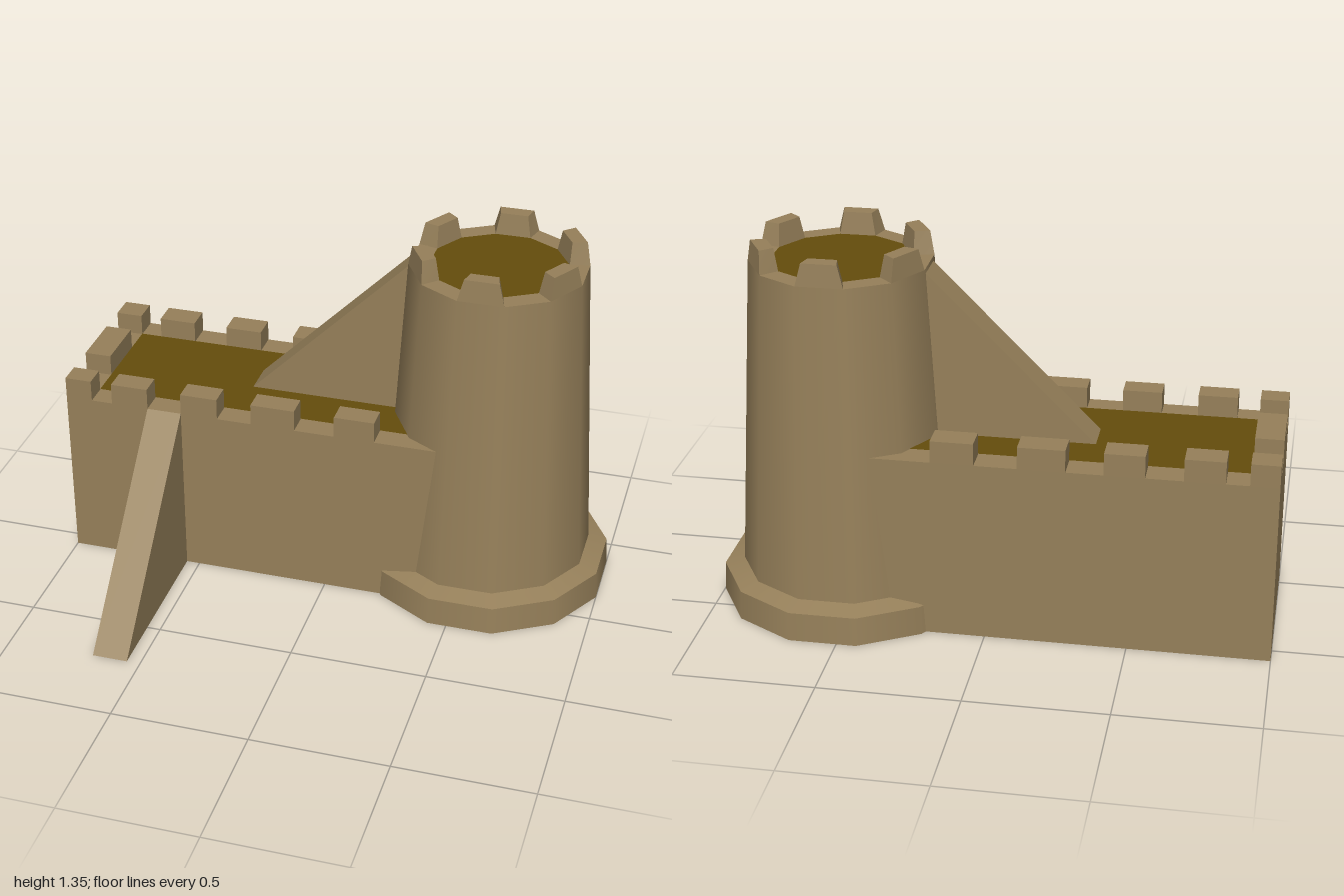
import * as THREE from 'three';

const stone = new THREE.MeshStandardMaterial({ color: 0x96805a, side: THREE.DoubleSide });
stone.name = 'sandy stone';
const earth = new THREE.MeshStandardMaterial({ color: 0x644d0c, side: THREE.DoubleSide });
earth.name = 'brown floor';

const SIDES = 12;
const HALF = Math.PI / SIDES;
const round = (apothem) => apothem / Math.cos(HALF); // flat-to-centre distance -> corner radius

function add(parent, name, geometry, material = stone) {
  const mesh = new THREE.Mesh(geometry, material);
  mesh.name = name;
  parent.add(mesh);
  return mesh;
}

// Box given by its limits; its underside can be left open
function block(x0, x1, y0, y1, z0, z1, open = false) {
  const g = new THREE.BoxGeometry(x1 - x0, y1 - y0, z1 - z0);
  g.translate((x0 + x1) / 2, (y0 + y1) / 2, (z0 + z1) / 2);
  if (open) {
    const index = Array.from(g.index.array);
    index.splice(18, 6);
    g.clearGroups();
    g.setIndex(index);
  }
  return g;
}

// Move every vertex by a rule and refresh the normals
function reshape(g, rule) {
  const p = g.attributes.position;
  const v = new THREE.Vector3();
  for (let i = 0; i < p.count; i++) {
    v.fromBufferAttribute(p, i);
    rule(v);
    p.setXYZ(i, v.x, v.y, v.z);
  }
  g.computeVertexNormals();
  return g;
}

// Open twelve-sided band with a flat side facing front
function band(r0, r1, y0, y1) {
  const g = new THREE.CylinderGeometry(round(r1), round(r0), y1 - y0, SIDES, 1, true, HALF);
  return g.translate(0, (y0 + y1) / 2, 0);
}

function buildTower() {
  const tower = new THREE.Group();
  tower.name = 'tower';
  tower.position.set(0.55, 0, -0.26);

  add(tower, 'towerFooting', band(0.45, 0.444, 0, 0.105));
  add(tower, 'footingSlope', band(0.444, 0.376, 0.105, 0.125));
  add(tower, 'towerShaft', band(0.376, 0.31, 0.125, 1.27));

  const rim = new THREE.RingGeometry(round(0.24), round(0.31), SIDES, 1, HALF);
  add(tower, 'towerRim', rim.rotateX(-Math.PI / 2).translate(0, 1.27, 0));
  const floor = new THREE.CircleGeometry(round(0.24), SIDES, HALF);
  add(tower, 'towerFloor', floor.rotateX(-Math.PI / 2).translate(0, 1.27, 0), earth);

  // Tapered battlements on every second side
  for (let i = 0; i < 6; i++) {
    const g = reshape(new THREE.BoxGeometry(1, 1, 1), (v) => {
      const top = v.y > 0, outer = v.z > 0;
      v.x = Math.sign(v.x) * (top ? (outer ? 0.062 : 0.05) : (outer ? 0.083 : 0.064));
      v.z = outer ? (top ? 0.303 : 0.31) : (top ? 0.25 : 0.24);
      v.y = top ? 1.35 : 1.27;
    });
    add(tower, 'towerBattlement', g).rotation.y = (i * Math.PI) / 3;
  }
  return tower;
}

function buildWall() {
  const wall = new THREE.Group();
  wall.name = 'wall';
  add(wall, 'wallBody', block(-1, 0.436, 0, 0.66, -0.57, 0.06, true));

  const floor = new THREE.PlaneGeometry(1.336, 0.45).rotateX(-Math.PI / 2);
  add(wall, 'wallFloor', floor.translate(-0.232, 0.662, -0.25), earth);

  // Battlements along both long sides and the far end
  const spans = [[-1, -0.9], [-0.82, -0.68], [-0.55, -0.41], [-0.28, -0.115], [0.035, 0.185]];
  for (const [x0, x1] of spans) {
    add(wall, 'frontBattlement', block(x0, x1, 0.66, 0.74, -0.025, 0.06));
    add(wall, 'backBattlement', block(x0, x1, 0.66, 0.74, -0.57, -0.475));
  }
  add(wall, 'endBattlement', block(-1, -0.9, 0.66, 0.74, -0.36, -0.14));
  return wall;
}

export function createModel() {
  const model = new THREE.Group();
  model.name = 'fort';
  model.add(buildWall(), buildTower());

  // Sloping buttress in front of the wall
  add(model, 'frontButtress', reshape(block(-0.68, -0.55, 0, 0.66, 0.06, 0.71, true), (v) => {
    if (v.z > 0.4) v.y = 0;
  }));

  // Ramp rising from the wall floor to the tower top
  add(model, 'towerRamp', reshape(block(-0.36, 0.25, 0.655, 1.265, -0.33, -0.2, true), (v) => {
    if (v.x < 0) v.y = 0.655;
  }));
  return model;
}
